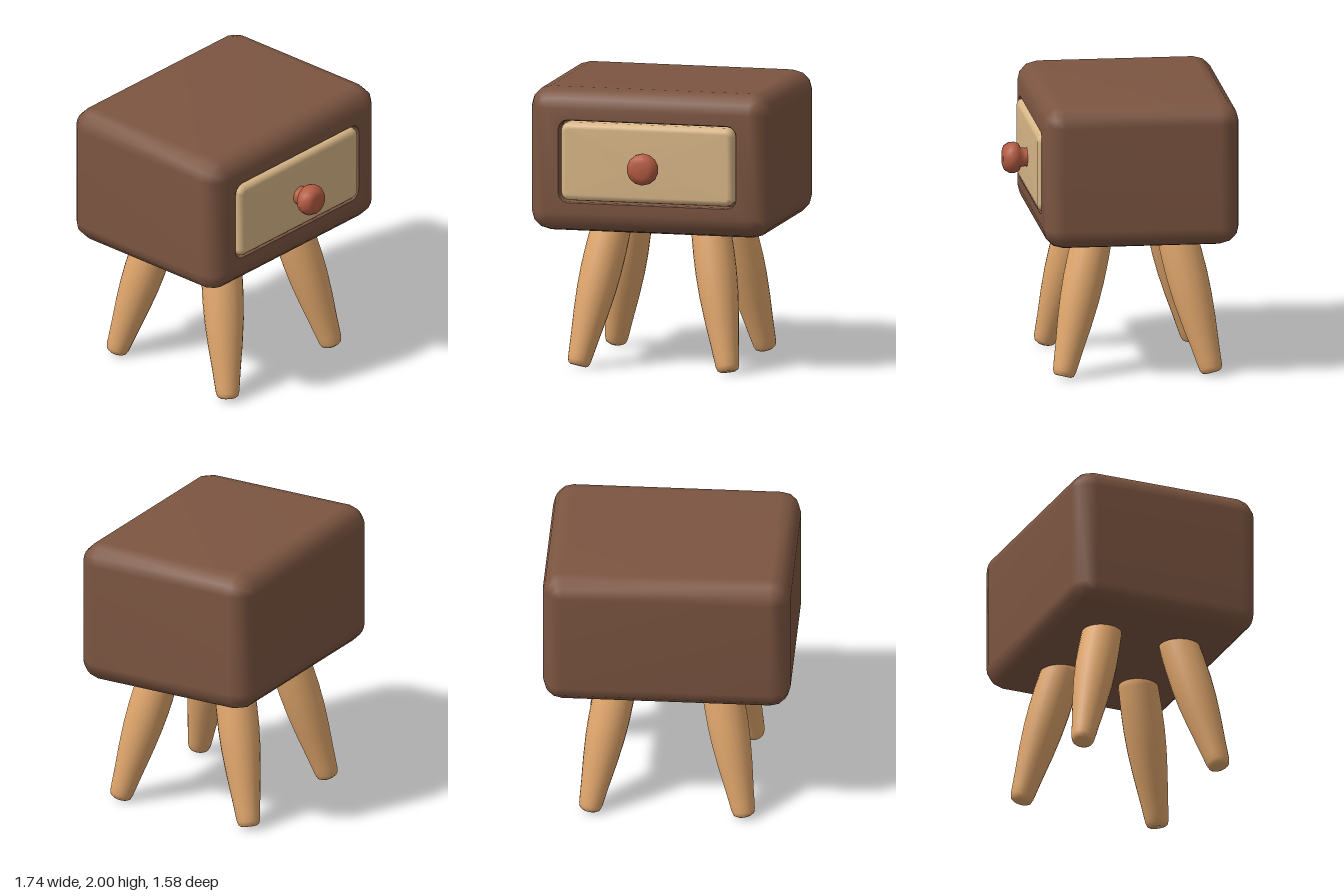
import * as THREE from 'three';
import { mergeVertices } from 'three/addons/utils/BufferGeometryUtils.js';

const CENTER_Y = 1.49;
const CORNER_STEPS = 3;

// Rounded rectangle in the xy plane, counter-clockwise seen from +z
function ring(halfW, halfH, radius, z) {
  const points = [];
  const r = Math.max(radius, 0);
  for (let corner = 0; corner < 4; corner++) {
    const sx = corner === 0 || corner === 3 ? 1 : -1;
    const sy = corner < 2 ? 1 : -1;
    for (let i = 0; i <= CORNER_STEPS; i++) {
      const a = (corner + i / CORNER_STEPS) * Math.PI / 2;
      points.push([sx * (halfW - r) + r * Math.cos(a), sy * (halfH - r) + r * Math.sin(a), z]);
    }
  }
  return points;
}

// Rings of a quarter-round edge; dir is +1 at the back and -1 at the front
function roundedEdge(halfW, halfH, radius, z, dir, steps = 3, corner = radius) {
  const rings = [];
  for (let k = 0; k <= steps; k++) {
    const a = k / steps * Math.PI / 2;
    const inset = radius * (1 - Math.sin(a));
    rings.push(ring(halfW - inset, halfH - inset, corner - inset, z + dir * radius * (1 - Math.cos(a))));
  }
  return dir > 0 ? rings : rings.reverse();
}

// Skin over successive rings, with optional flat caps
function loft(rings, capStart, capEnd) {
  const n = rings[0].length;
  const pos = rings.flat(2);
  const index = [];
  for (let i = 0; i < rings.length - 1; i++) {
    for (let j = 0; j < n; j++) {
      const k = (j + 1) % n;
      const a = i * n + j, b = i * n + k, c = a + n, d = b + n;
      index.push(a, b, d, a, d, c);
    }
  }
  const cap = (i, flip) => {
    const center = pos.length / 3;
    pos.push(0, 0, rings[i][0][2]);
    for (let j = 0; j < n; j++) {
      const a = i * n + j, b = i * n + (j + 1) % n;
      index.push(center, flip ? b : a, flip ? a : b);
    }
  };
  if (capStart) cap(0, true);
  if (capEnd) cap(rings.length - 1, false);
  let geometry = new THREE.BufferGeometry();
  geometry.setAttribute('position', new THREE.Float32BufferAttribute(pos, 3));
  geometry.setIndex(index);
  geometry = mergeVertices(geometry, 1e-5);
  geometry.computeVertexNormals();
  return geometry;
}

const profile = (pairs) => pairs.map(([r, y]) => new THREE.Vector2(r, y));

export function createModel() {
  const material = (name, color) => {
    const m = new THREE.MeshStandardMaterial({ color });
    m.name = name;
    return m;
  };
  const darkWood = material('dark wood', 0x7c5541);
  const paleWood = material('pale wood', 0xd9b788);
  const lightWood = material('light wood', 0xe0a66c);
  const redWood = material('red wood', 0xb45c43);

  const model = new THREE.Group();
  model.name = 'nightstand';
  const add = (name, geometry, mat, parent = model) => {
    const mesh = new THREE.Mesh(geometry, mat);
    mesh.name = name;
    parent.add(mesh);
    return mesh;
  };

  // Cabinet shell, open at the front where the drawer sits
  const cabinet = new THREE.Group();
  cabinet.name = 'cabinet';
  cabinet.position.y = CENTER_Y;
  model.add(cabinet);
  add('shell', loft([
    ...roundedEdge(0.87, 0.51, 0.14, -0.79, 1),
    ...roundedEdge(0.87, 0.51, 0.14, 0.59, -1),
    ring(0.645, 0.295, 0.07, 0.59),
  ], true, false), darkWood, cabinet);
  add('recess', loft([
    ring(0.645, 0.295, 0.07, 0.59),
    ring(0.638, 0.288, 0.063, 0.58),
    ring(0.638, 0.288, 0.063, 0.5),
  ], false, false), darkWood, cabinet);
  add('recessFloor', loft([
    ring(0.638, 0.288, 0.063, 0.5),
    ring(0.5, 0.2, 0.04, 0.5),
  ], false, true), darkWood, cabinet);

  // Drawer front with softened edges
  add('drawer', loft([
    ring(0.627, 0.278, 0.06, 0.51),
    ...roundedEdge(0.627, 0.278, 0.045, 0.615, -1, 3, 0.06),
  ], false, true), paleWood, cabinet);

  // Turned knob
  const knob = add('knob', new THREE.LatheGeometry(profile([
    [0.07, 0.58], [0.066, 0.63], [0.07, 0.66], [0.1, 0.675], [0.112, 0.705],
    [0.11, 0.74], [0.088, 0.775], [0.055, 0.788], [0, 0.79],
  ]), 14), redWood);
  knob.rotation.x = Math.PI / 2;
  knob.position.y = 1.475;

  // Four splayed legs, tapering towards the feet
  const legGeometry = new THREE.LatheGeometry(profile([
    [0, 0], [0.055, 0], [0.073, 0.012], [0.082, 0.04], [0.088, 0.09], [0.1, 0.2], [0.122, 0.38],
    [0.138, 0.55], [0.145, 0.7], [0.145, 0.85], [0.14, 1.0], [0.13, 1.1], [0, 1.1],
  ]), 24);
  for (const [sx, side] of [[1, 'Left'], [-1, 'Right']]) {
    for (const [sz, end] of [[1, 'front'], [-1, 'back']]) {
      const leg = add(`${end}${side}Leg`, legGeometry, lightWood);
      const foot = new THREE.Vector3(sx * 0.543, 0.016, -0.1 + sz * 0.525);
      const top = new THREE.Vector3(sx * 0.36, 0.98, -0.1 + sz * 0.295);
      leg.position.copy(foot);
      leg.quaternion.setFromUnitVectors(new THREE.Vector3(0, 1, 0), top.sub(foot).normalize());
    }
  }
  return model;
}
